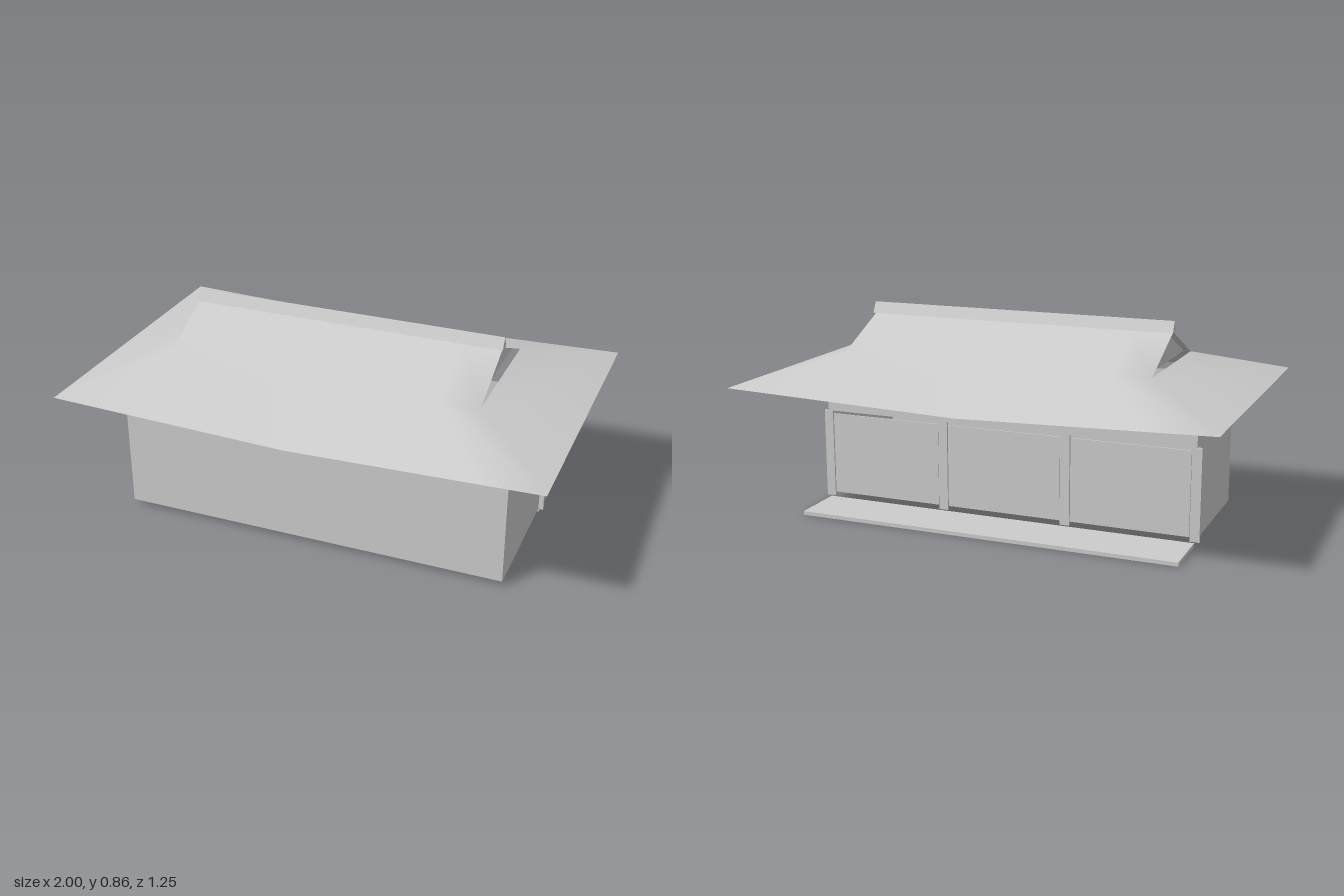
import * as THREE from 'three';

const mat = new THREE.MeshStandardMaterial({ color: 0xcccccc, side: THREE.DoubleSide });

export function createModel() {
  const root = new THREE.Group();
  const add = (name, geometry, x = 0, y = 0, z = 0, turn = 0) => {
    const mesh = new THREE.Mesh(geometry, mat);
    mesh.name = name;
    mesh.position.set(x, y, z);
    mesh.rotation.y = turn;
    root.add(mesh);
    return mesh;
  };
  const box = (name, w, h, d, x, y, z) => add(name, new THREE.BoxGeometry(w, h, d), x, y, z);

  // Thin walls, open below and above
  const W = 0.81, FRONT = 0.405, BACK = -0.17, LOW = 0.02, HIGH = 0.575, HEAD = 0.4;
  const wallH = HIGH - LOW, wallY = (HIGH + LOW) / 2;
  add('frontWall', new THREE.PlaneGeometry(2 * W, wallH), 0, wallY, FRONT);
  for (const s of [-1, 1]) {
    add(s > 0 ? 'leftWall' : 'rightWall', new THREE.PlaneGeometry(FRONT - BACK, wallH),
      s * W, wallY, (FRONT + BACK) / 2, s * Math.PI / 2);
  }
  add('backLintel', new THREE.PlaneGeometry(2 * W, HIGH - HEAD), 0, (HIGH + HEAD) / 2, BACK, Math.PI);

  // Back posts with door panels between them
  const bay = 2 * W / 3;
  for (let i = 0; i < 4; i++) {
    box('backPost', 0.04, HEAD - LOW, 0.012, -W + i * bay, (HEAD + LOW) / 2, BACK + 0.006);
  }
  for (let i = 0; i < 3; i++) {
    box('doorPanel', bay - 0.045, 0.35, 0.006, -W + (i + 0.5) * bay, 0.212, BACK + 0.006);
  }

  // Veranda deck
  box('deck', 2 * W, 0.016, 0.232, 0, 0.008, -0.286);

  // Roof shell: ridge, break and eave rows for each long slope, dipping mid-eave
  const R = 0.655, BZ = 0.28, BY = 0.685, EZ = 0.627;
  const pos = [], index = [];
  const N = 8;
  const rows = [
    { x: R, y: 0.812, z: 0, dip: 0.003 },
    { x: R, y: BY, z: BZ, dip: 0.006 },
    { x: 1, y: 0.576, z: EZ, dip: 0.03 },
  ];
  const id = (side, row, i) => side * 3 * (N + 1) + row * (N + 1) + i;
  for (const s of [1, -1]) {
    for (const r of rows) {
      for (let i = 0; i <= N; i++) {
        const t = -1 + 2 * i / N;
        pos.push(s * t * r.x, r.y - r.dip * (1 - Math.abs(t)), s * r.z);
      }
    }
  }
  for (let side = 0; side < 2; side++) {
    for (let row = 0; row < 2; row++) {
      for (let i = 0; i < N; i++) {
        const a = id(side, row, i), b = id(side, row, i + 1);
        const c = id(side, row + 1, i), d = id(side, row + 1, i + 1);
        index.push(a, c, d, a, d, b);
      }
    }
    // Hip skirt at the end of this slope, joined to the other slope
    const a = id(side, 1, N), b = id(1 - side, 1, 0), c = id(side, 2, N), d = id(1 - side, 2, 0);
    index.push(a, c, d, a, d, b);
  }
  const roof = new THREE.BufferGeometry();
  roof.setAttribute('position', new THREE.Float32BufferAttribute(pos, 3));
  roof.setIndex(index);
  roof.computeVertexNormals();
  add('roof', roof);

  // Gables set back under the roof ends
  const gable = new THREE.Shape([[-BZ, BY], [BZ, BY], [0, 0.81]].map(p => new THREE.Vector2(...p)));
  for (const s of [-1, 1]) {
    add(s > 0 ? 'leftGable' : 'rightGable', new THREE.ShapeGeometry(gable), s * 0.625, 0, 0, s * Math.PI / 2);
  }

  // Triangular ridge cap
  const cap = new THREE.Shape([[-0.024, 0.81], [0.024, 0.81], [0, 0.856]].map(p => new THREE.Vector2(...p)));
  const capGeo = new THREE.ExtrudeGeometry(cap, { depth: 1.32, bevelEnabled: false });
  capGeo.translate(0, 0, -0.66);
  add('ridgeCap', capGeo, 0, 0, 0, Math.PI / 2);

  return root;
}
